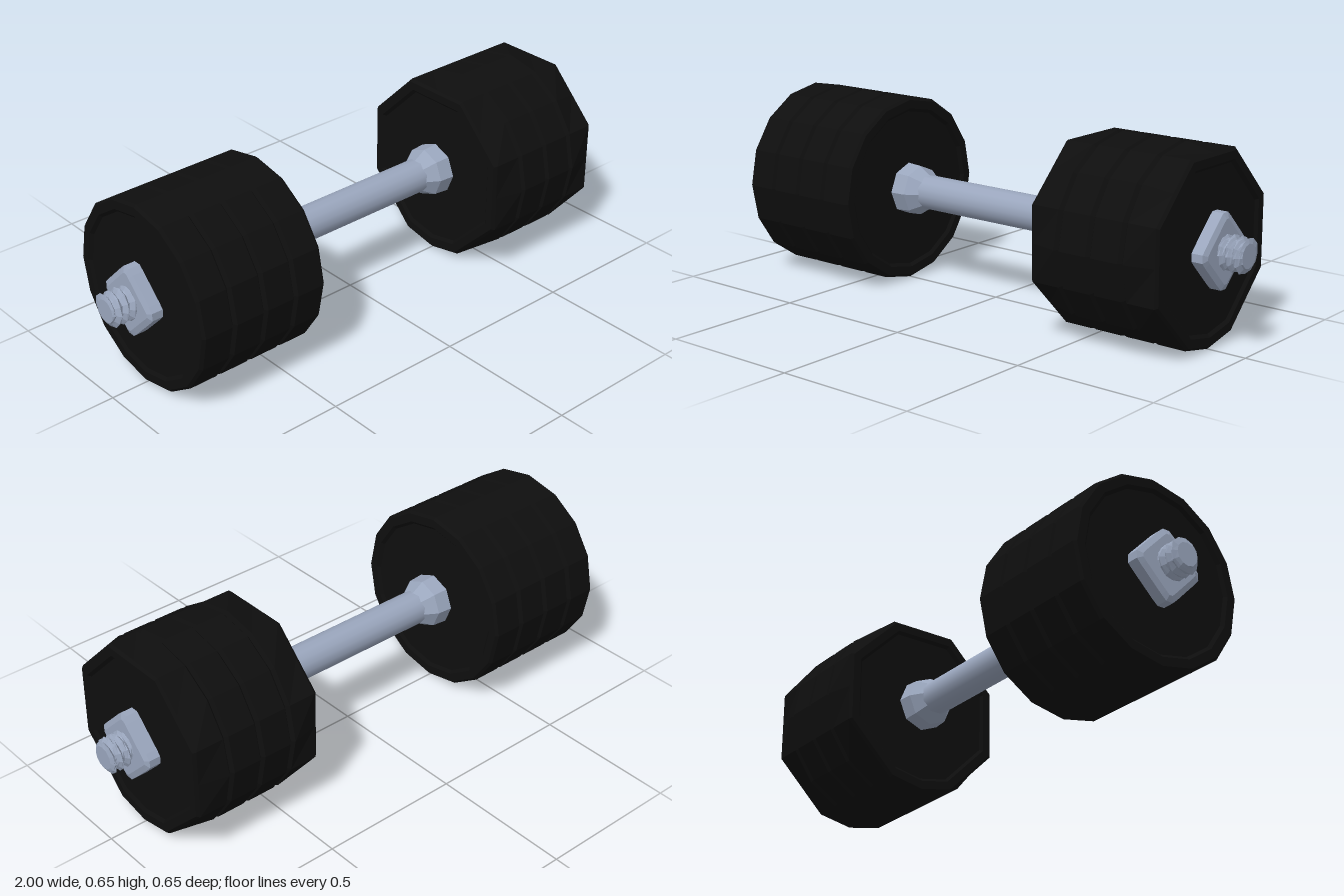
import * as THREE from 'three';

const AXIS_Y = 0.328;
const rubber = new THREE.MeshStandardMaterial({ color: 0x0e0e0e });
rubber.name = 'black rubber';
const steel = new THREE.MeshStandardMaterial({ color: 0x9aa6bd });
steel.name = 'steel';

// Faceted loft along x: each row is [x, radius or radius function of the corner index]
function loft(rows, sides) {
  const point = ([x, r], j) => {
    const a = (j % sides) / sides * Math.PI * 2;
    const rad = typeof r === 'function' ? r(j % sides) : r;
    return [x, rad * Math.cos(a), rad * Math.sin(a)];
  };
  const pos = [];
  for (let i = 0; i < rows.length - 1; i++) {
    for (let j = 0; j < sides; j++) {
      const a = point(rows[i], j), b = point(rows[i], j + 1);
      const c = point(rows[i + 1], j), d = point(rows[i + 1], j + 1);
      pos.push(...a, ...b, ...c, ...b, ...d, ...c);
    }
  }
  const geo = new THREE.BufferGeometry();
  geo.setAttribute('position', new THREE.Float32BufferAttribute(pos, 3));
  geo.computeVertexNormals();
  return geo;
}

// Mirrors loft rows to the -x side, keeping x increasing
const mirrorRows = rows => rows.map(([x, r]) => [-x, r]).reverse();

function add(parent, name, geo, mat) {
  const mesh = new THREE.Mesh(geo, mat);
  mesh.name = name;
  parent.add(mesh);
  return mesh;
}

// Stack of four plates with grooves; "coarse" gives its two ends fewer corners
function weightRows(coarse) {
  const start = 0.39, width = 0.12, end = start + 4 * width;
  const flat = Math.cos(Math.PI / 8);
  const rim = r => coarse ? j => (j % 2 === 0 && j !== 8 ? r * flat : r) : r;
  const rows = [[start + 0.01, 0], [start + 0.01, rim(0.277)], [start, rim(0.288)], [start, rim(0.318)]];
  for (let k = 0; k < 4; k++) {
    const x = start + k * width;
    const first = k === 0, last = k === 3;
    if (!first) rows.push([x, 0.314]);
    rows.push([x + 0.01, first ? rim(0.327) : 0.327]);
    rows.push([x + width - 0.01, last ? rim(0.327) : 0.327]);
  }
  rows.push([end, rim(0.318)], [end, rim(0.288)], [end - 0.01, rim(0.277)], [end - 0.01, 0]);
  return rows;
}

// Square nut standing on a corner, rounded and bevelled
function nutGeometry() {
  const tip = 0.112, cut = 0.018;
  const s = new THREE.Shape();
  for (let k = 0; k < 4; k++) {
    const a = k * Math.PI / 2;
    const at = (u, v) => [u * Math.cos(a) - v * Math.sin(a), u * Math.sin(a) + v * Math.cos(a)];
    const p = at(tip - cut, -cut), q = at(tip + 0.006, 0), e = at(tip - cut, cut);
    k === 0 ? s.moveTo(...p) : s.lineTo(...p);
    s.quadraticCurveTo(...q, ...e);
  }
  const geo = new THREE.ExtrudeGeometry(s, {
    depth: 0.04, bevelEnabled: true, bevelSize: 0.019, bevelThickness: 0.008, bevelSegments: 1, curveSegments: 3,
  });
  return geo.translate(0, 0, 0.872).rotateY(Math.PI / 2);
}

// Threaded bolt end: the radius follows a sawtooth that winds round the axis
function threadRows(sides) {
  const rows = [[0.86, 0]];
  const steps = 24, x0 = 0.86, x1 = 0.995, pitch = 0.027;
  for (let i = 0; i <= steps; i++) {
    const x = x0 + (x1 - x0) * i / steps;
    rows.push([x, j => {
      const t = x / pitch - j / sides;
      const tri = Math.abs((t - Math.floor(t)) * 2 - 1);
      return 0.041 + 0.021 * tri;
    }]);
  }
  rows.push([1, 0.04], [1, 0]);
  return rows;
}

export function createModel() {
  const model = new THREE.Group();
  model.name = 'dumbbell';
  const body = new THREE.Group();
  body.name = 'dumbbellBody';
  body.position.y = AXIS_Y;
  model.add(body);

  // Grip bar
  add(body, 'gripBar', new THREE.CylinderGeometry(0.06, 0.06, 0.76, 16).rotateZ(Math.PI / 2), steel);

  const collar = [[0.3, 0], [0.3, 0.06], [0.345, 0.088], [0.4, 0.092], [0.4, 0]];
  for (const side of [1, -1]) {
    const label = side > 0 ? 'left' : 'right';
    const place = rows => side > 0 ? rows : mirrorRows(rows);
    const end = new THREE.Group();
    end.name = label + 'End';
    body.add(end);
    add(end, label + 'WeightPlates', loft(place(weightRows(side > 0)), 16), rubber);
    add(end, label + 'Collar', loft(place(collar), 8), steel);
    add(end, label + 'ThreadedTip', loft(place(threadRows(12)), 12), steel);
    const nut = add(end, label + 'Nut', nutGeometry(), steel);
    if (side < 0) nut.rotation.y = Math.PI;
  }
  return model;
}
